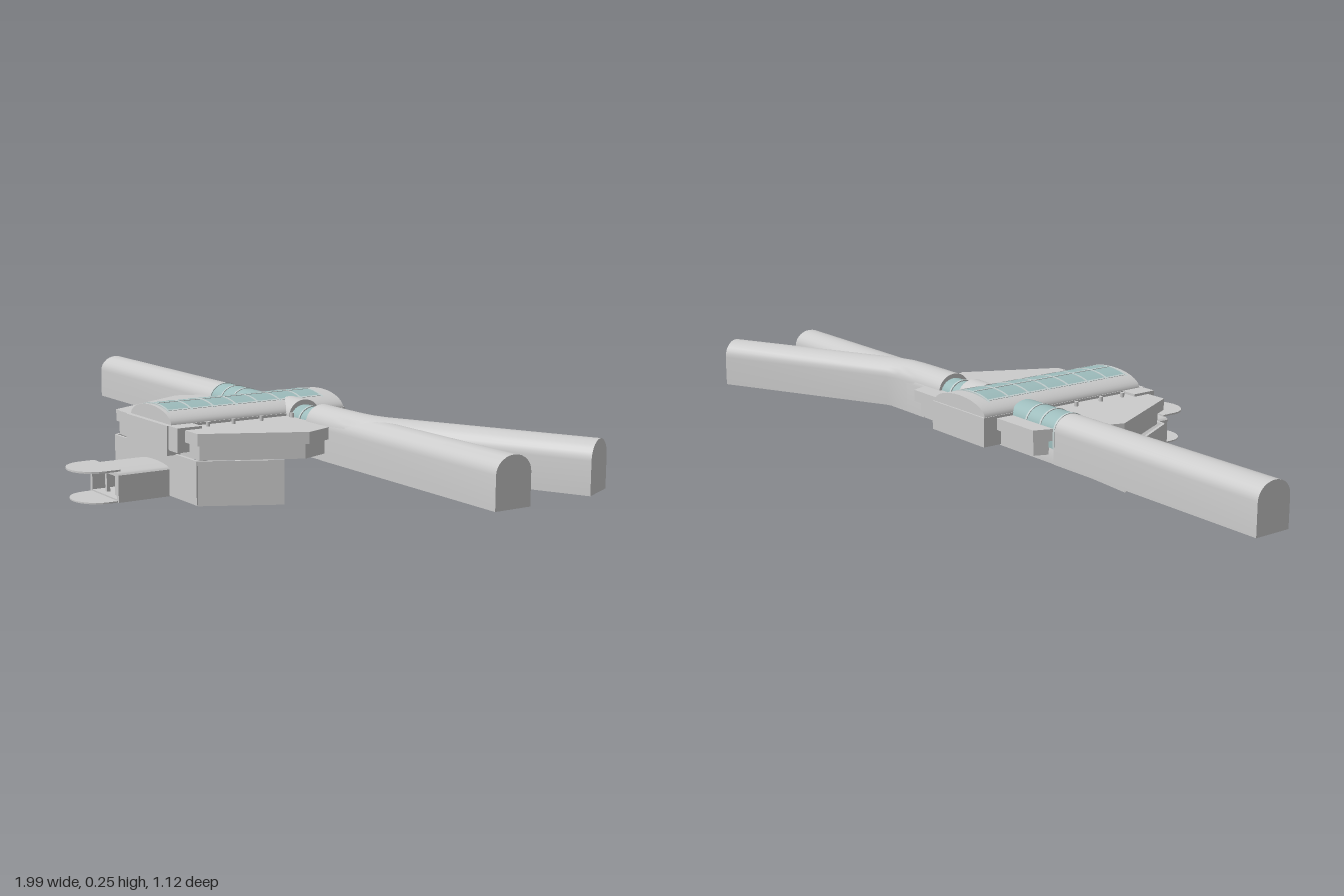
import * as THREE from 'three';
import { toCreasedNormals } from 'three/addons/utils/BufferGeometryUtils.js';

const grey = new THREE.MeshStandardMaterial({ color: 0xcccccc, side: THREE.DoubleSide });
const glass = new THREE.MeshStandardMaterial({ color: 0x9dbcbc });
const frame = new THREE.MeshStandardMaterial({ color: 0xc4d0d0 });

function add(parent, name, geometry, material = grey) {
  const mesh = new THREE.Mesh(geometry, material);
  mesh.name = name;
  parent.add(mesh);
  return mesh;
}

function box(parent, name, x0, x1, y0, y1, z0, z1, material) {
  const mesh = add(parent, name, new THREE.BoxGeometry(x1 - x0, y1 - y0, z1 - z0), material);
  mesh.position.set((x0 + x1) / 2, (y0 + y1) / 2, (z0 + z1) / 2);
  return mesh;
}

// Flat slab with a plan outline of [x, z] points
function slab(points, y0, y1) {
  const shape = new THREE.Shape(points.map(([x, z]) => new THREE.Vector2(x, -z)));
  const g = new THREE.ExtrudeGeometry(shape, { depth: y1 - y0, bevelEnabled: false });
  return g.rotateX(-Math.PI / 2).translate(0, y0, 0);
}

// Arch outline: straight walls from y0 to y1, elliptical top of the given rise
function archPoints(half, y0, y1, rise, n = 14) {
  const pts = [[half, y0]];
  for (let i = 0; i <= n; i++) {
    const a = (i / n) * Math.PI;
    pts.push([half * Math.cos(a), y1 + rise * Math.sin(a)]);
  }
  pts.push([-half, y0]);
  return pts;
}

// Sweep a convex section along a level path of [x, z] points, mitred and capped
function sweep(path, section) {
  const pos = [], index = [], n = section.length;
  const dir = (a, b) => new THREE.Vector2(b[0] - a[0], b[1] - a[1]).normalize();
  path.forEach((p, i) => {
    const d0 = dir(path[Math.max(i - 1, 0)], path[Math.max(i, 1)]);
    const last = path.length - 1;
    const d1 = dir(path[Math.min(i, last - 1)], path[Math.min(i + 1, last)]);
    const t = d0.clone().add(d1).normalize();
    const stretch = 1 / t.dot(d0);
    for (const [s, y] of section) pos.push(p[0] - t.y * s * stretch, y, p[1] + t.x * s * stretch);
  });
  for (let i = 0; i < path.length - 1; i++) {
    for (let j = 0; j < n; j++) {
      const a = i * n + j, b = i * n + (j + 1) % n;
      index.push(a, a + n, b, b, a + n, b + n);
    }
  }
  const end = (path.length - 1) * n;
  for (let j = 1; j < n - 1; j++) index.push(0, j, j + 1, end, end + j + 1, end + j);
  const g = new THREE.BufferGeometry();
  g.setAttribute('position', new THREE.Float32BufferAttribute(pos, 3));
  g.setIndex(index);
  return toCreasedNormals(g, 0.6);
}

export function createModel() {
  const model = new THREE.Group();
  model.name = 'station';

  // Everything except the branch tunnel follows the turned axis of the main line
  const station = new THREE.Group();
  station.name = 'stationBody';
  station.rotation.y = -0.466;
  model.add(station);
  const cx = -0.06, lineZ = -0.03;

  // Main line tunnels, glazed where they meet the hall
  const bore = archPoints(0.054, 0.108, 0.195, 0.045);
  const line = (x0, x1) => [[x0, lineZ], [x1, lineZ]];
  add(station, 'leftTunnel', sweep(line(-1.1, -0.36), bore));
  add(station, 'rightTunnel', sweep(line(0.24, 0.975), bore));
  add(station, 'trackBed', sweep(line(-0.36, 0.24), archPoints(0.052, 0.108, 0.15, 0.02)));
  add(station, 'leftGlassTunnel', sweep(line(-0.36, -0.17), archPoints(0.053, 0.15, 0.195, 0.045)), glass);
  add(station, 'rightGlassTunnel', sweep(line(0.05, 0.24), archPoints(0.046, 0.15, 0.195, 0.04)), glass);
  for (const x of [-0.36, -0.3, -0.24, 0.12, 0.18, 0.24])
    add(station, 'tunnelRib', sweep(line(x - 0.003, x + 0.003), archPoints(x < 0 ? 0.055 : 0.049, 0.15, 0.195, x < 0 ? 0.047 : 0.043)), frame);

  // Branch tunnel curving away from the main line
  const branch = [[0.16, 0.047], [0.27, 0.102], [0.32, 0.126], [0.36, 0.142], [0.41, 0.151], [1, 0.152]];
  add(model, 'branchTunnel', sweep(branch, archPoints(0.053, 0.113, 0.2, 0.048)));

  // Six-sided deck with a recessed lower band
  const hexagon = (k) => [[0.276, -0.135], [0.368, 0.105], [0.236, 0.372], [-0.236, 0.372], [-0.368, 0.105], [-0.276, -0.135]]
    .map(([x, z]) => [cx + x * k, 0.12 + (z - 0.12) * k]);
  add(station, 'deck', slab(hexagon(1), 0.172, 0.205));
  add(station, 'deckBand', slab(hexagon(0.95), 0.13, 0.172));

  // Lower concourse, open at the back
  const base = [[0.28, 0.167], [0.175, 0.371], [-0.297, 0.373], [-0.432, 0.11]];
  add(station, 'concourseFloor', slab(base, 0.01, 0.018));
  for (let i = 0; i < 3; i++) {
    const [a, b] = [base[i], base[i + 1]];
    const length = Math.hypot(b[0] - a[0], b[1] - a[1]);
    const wall = add(station, 'concourseWall', new THREE.BoxGeometry(length, 0.12, 0.008));
    wall.position.set((a[0] + b[0]) / 2, 0.072, (a[1] + b[1]) / 2);
    wall.rotation.y = -Math.atan2(b[1] - a[1], b[0] - a[0]);
  }

  // Stairs and columns inside the concourse
  for (const side of [-1, 1]) {
    const stair = add(station, 'stair', new THREE.BoxGeometry(0.19, 0.014, 0.05));
    stair.position.set(cx + side * 0.17, 0.07, 0.2);
    stair.rotation.z = side * 0.6;
    const column = add(station, 'column', new THREE.CylinderGeometry(0.014, 0.014, 0.12, 16));
    column.position.set(cx + side * 0.05, 0.075, 0.2);
  }

  // Vaulted hall with stepped ends
  box(station, 'hallBody', cx - 0.12, cx + 0.12, 0.13, 0.212, -0.18, 0.4);
  box(station, 'frontShoulder', cx - 0.17, cx + 0.17, 0.145, 0.212, 0.32, 0.395);
  const vault = (name, half, rise, z0, z1, material) =>
    add(station, name, sweep([[cx, z0], [cx, z1]], archPoints(half, 0.2, 0.21, rise, 20)), material);
  vault('hallVault', 0.118, 0.042, -0.175, 0.385);
  vault('hallGlass', 0.108, 0.044, -0.13, 0.37, glass);

  // Glazing bars across and along the vault
  for (let i = 0; i <= 7; i++) {
    const z = -0.13 + (i * 0.5) / 7;
    vault('crossBar', 0.109, 0.0455, z - 0.003, z + 0.003, frame);
  }
  for (const x of [-0.07, 0, 0.07]) {
    const y = 0.21 + 0.0455 * Math.sqrt(1 - (x / 0.109) ** 2);
    const bar = box(station, 'longBar', cx + x - 0.003, cx + x + 0.003, y - 0.003, y, -0.13, 0.37, frame);
    bar.rotation.z = -x * 4.2;
  }

  // Cross roof above the tracks
  add(station, 'crossRoof', sweep([[0, lineZ], [0.075, lineZ]], archPoints(0.05, 0.2, 0.205, 0.044)));

  // Small posts beside the hall
  for (const side of [-1, 1]) {
    for (const z of [0.02, 0.12, 0.21, 0.29]) {
      const post = add(station, 'post', new THREE.CylinderGeometry(0.006, 0.006, 0.016, 8));
      post.position.set(cx + side * 0.15, 0.21, z);
    }
  }

  // Entrance porch: side walls, curved roof, door posts, rounded canopy and step
  for (const side of [-1, 1]) {
    const x = cx + side * 0.08;
    box(station, 'porchWall', x - 0.006, x + 0.006, 0.01, 0.085, 0.37, 0.53);
    box(station, 'doorPost', cx + side * 0.03 - 0.005, cx + side * 0.03 + 0.005, 0.01, 0.085, 0.5, 0.51);
  }
  box(station, 'porchFloor', cx - 0.086, cx + 0.086, 0.01, 0.018, 0.37, 0.53);
  box(station, 'porchBack', cx - 0.08, cx + 0.08, 0.018, 0.085, 0.44, 0.448);
  add(station, 'porchRoof', sweep([[cx, 0.37], [cx, 0.53]], archPoints(0.088, 0.08, 0.085, 0.014)));
  const tongue = (z1) => {
    const pts = [[cx - 0.08, 0.52], [cx + 0.08, 0.52]];
    for (let i = 0; i <= 12; i++) {
      const a = (i / 12) * Math.PI;
      pts.push([cx + 0.08 * Math.cos(a), z1 - 0.07 + 0.07 * Math.sin(a)]);
    }
    return pts;
  };
  add(station, 'canopy', slab(tongue(0.635), 0.094, 0.099));
  add(station, 'entranceStep', slab(tongue(0.625), 0.01, 0.014));

  return model;
}
